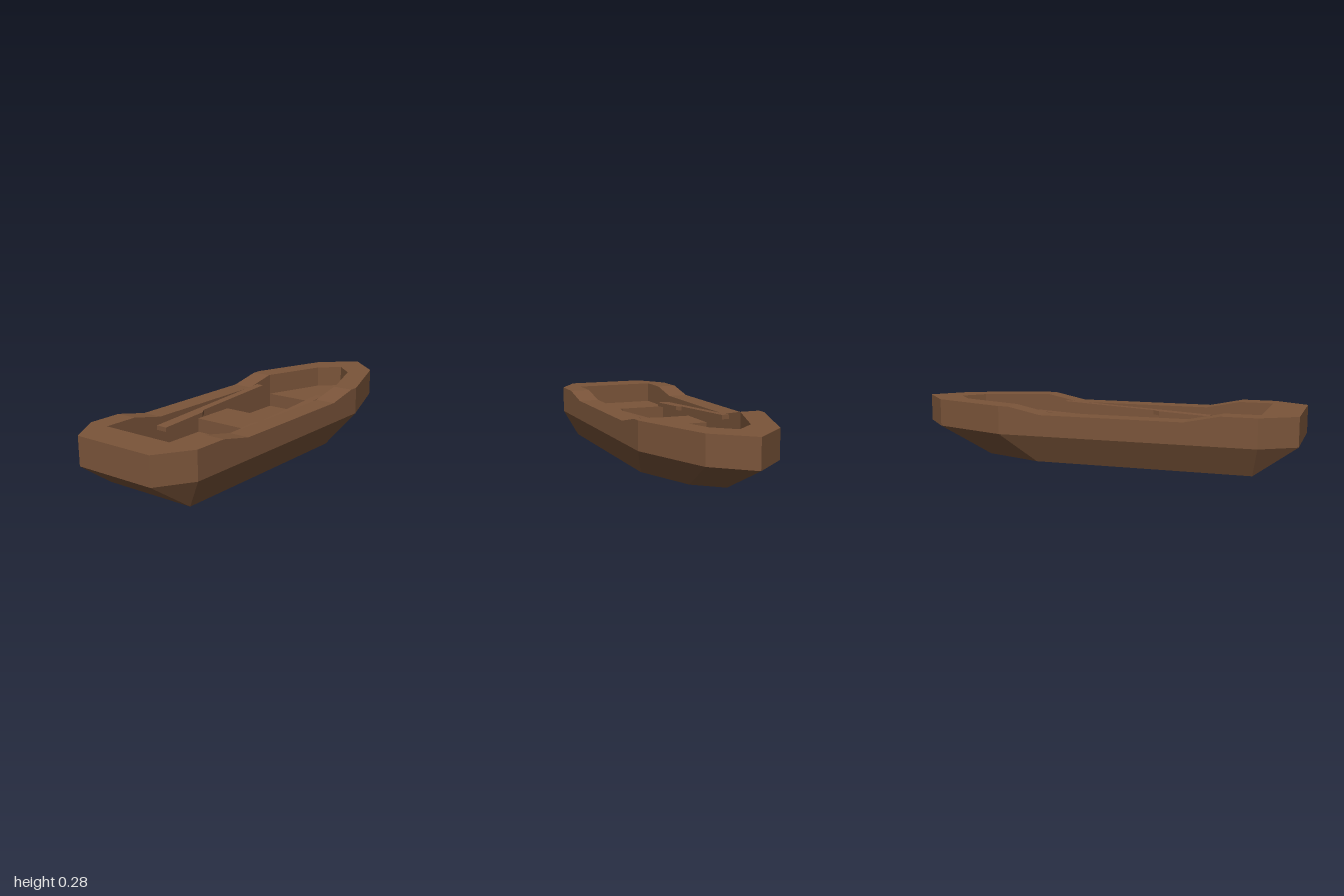
import * as THREE from 'three';

// Faceted solid from matching rings of [x, y, z], listed clockwise seen from above;
// the first ring is closed facing down and the last facing up.
function loft(rings) {
  const pos = [];
  const tri = (a, b, c) => pos.push(...a, ...b, ...c);
  const n = rings[0].length;
  for (let r = 0; r < rings.length - 1; r++) {
    for (let i = 0; i < n; i++) {
      const j = (i + 1) % n;
      const [a, b, c, d] = [rings[r][i], rings[r][j], rings[r + 1][j], rings[r + 1][i]];
      tri(a, d, c);
      tri(a, c, b);
    }
  }
  const cap = (ring, up) => {
    const contour = ring.map(([x, , z]) => new THREE.Vector2(x, z));
    for (const f of THREE.ShapeUtils.triangulateShape(contour, [])) {
      const [a, b, c] = f.map((k) => ring[k]);
      const ny = (b[2] - a[2]) * (c[0] - a[0]) - (b[0] - a[0]) * (c[2] - a[2]);
      if (ny > 0 === up) tri(a, b, c);
      else tri(a, c, b);
    }
  };
  cap(rings[0], false);
  cap(rings[rings.length - 1], true);
  const geo = new THREE.BufferGeometry();
  geo.setAttribute('position', new THREE.Float32BufferAttribute(pos, 3));
  geo.computeVertexNormals();
  return geo;
}

// Complete a half outline (bow tip first, +x side) into a closed ring
const mirrorRing = (half) => [
  ...half,
  ...half.slice(1).reverse().map(([x, y, z]) => [-x, y, z]),
];

export function createModel() {
  const boat = new THREE.Group();
  boat.name = 'rowingBoat';
  const wood = new THREE.MeshStandardMaterial({ color: 0x7b553a });
  wood.name = 'brownWood';
  wood.flatShading = true;

  const add = (name, geo) => {
    const mesh = new THREE.Mesh(geo, wood);
    mesh.name = name;
    boat.add(mesh);
    return mesh;
  };

  const FLOOR = 0.1, SEAT = 0.171, CHINE = 0.14, HIGH = 0.28, LOW = 0.245;

  // Hull stations: outer x, z | inner x, z | bottom x, z | rim height
  const stations = [
    [0, -1, 0, -0.81, 0, -0.695, HIGH],
    [0.175, -0.845, 0.1, -0.72, 0.13, -0.58, HIGH],
    [0.32, -0.44, 0.215, -0.4, 0.245, -0.27, HIGH],
    [0.32, -0.39, 0.215, -0.39, 0.245, -0.27, HIGH],
    [0.32, -0.22, 0.215, -0.22, 0.245, -0.22, LOW],
    [0.32, 0.49, 0.215, 0.49, 0.245, 0.49, LOW],
    [0.32, 0.66, 0.215, 0.66, 0.245, 0.66, HIGH],
    [0.32, 0.83, 0.215, 0.83, 0.245, 0.8, HIGH],
    [0.213, 1, 0.215, 0.83, 0.245, 0.8, HIGH],
  ];
  const ring = (fn) => mirrorRing(stations.map(fn));
  add('hull', loft([
    ring(([, , , , x, z]) => [x, 0, z]),
    ring(([x, z]) => [x, CHINE, z]),
    ring(([x, z, , , , , y]) => [x, y, z]),
    ring(([, , x, z, , , y]) => [x, y, z]),
    ring(([, , x, z]) => [x, FLOOR, z]),
  ]));

  // Raised deck in the bow
  const deck = [[0, -0.81], [0.1, -0.72], [0.215, -0.4]];
  add('bowDeck', loft([FLOOR, SEAT].map((y) => mirrorRing(deck.map(([x, z]) => [x, y, z])))));

  // Cross benches
  for (const [name, z0, z1] of [['middleBench', -0.02, 0.215], ['sternBench', 0.59, 0.83]]) {
    const bench = new THREE.BoxGeometry(0.43, SEAT - FLOOR, z1 - z0);
    add(name, bench).position.set(0, (SEAT + FLOOR) / 2, (z0 + z1) / 2);
  }

  // Sloping ledges along the inner sides
  const ledge = [
    [0.215, -0.28], [0.215, 0.515], [0.155, 0.515],
    [0.155, 0.25], [0.175, 0.215], [0.175, -0.28],
  ];
  const ledgeTop = (z) => 0.251 - (z + 0.28) * 0.055;
  for (const side of [1, -1]) {
    const outline = side > 0 ? ledge : [...ledge].reverse();
    add(side > 0 ? 'leftLedge' : 'rightLedge', loft([0.022, 0].map((drop) =>
      outline.map(([x, z]) => [side * x, ledgeTop(z) - drop, z]))));
  }
  return boat;
}
